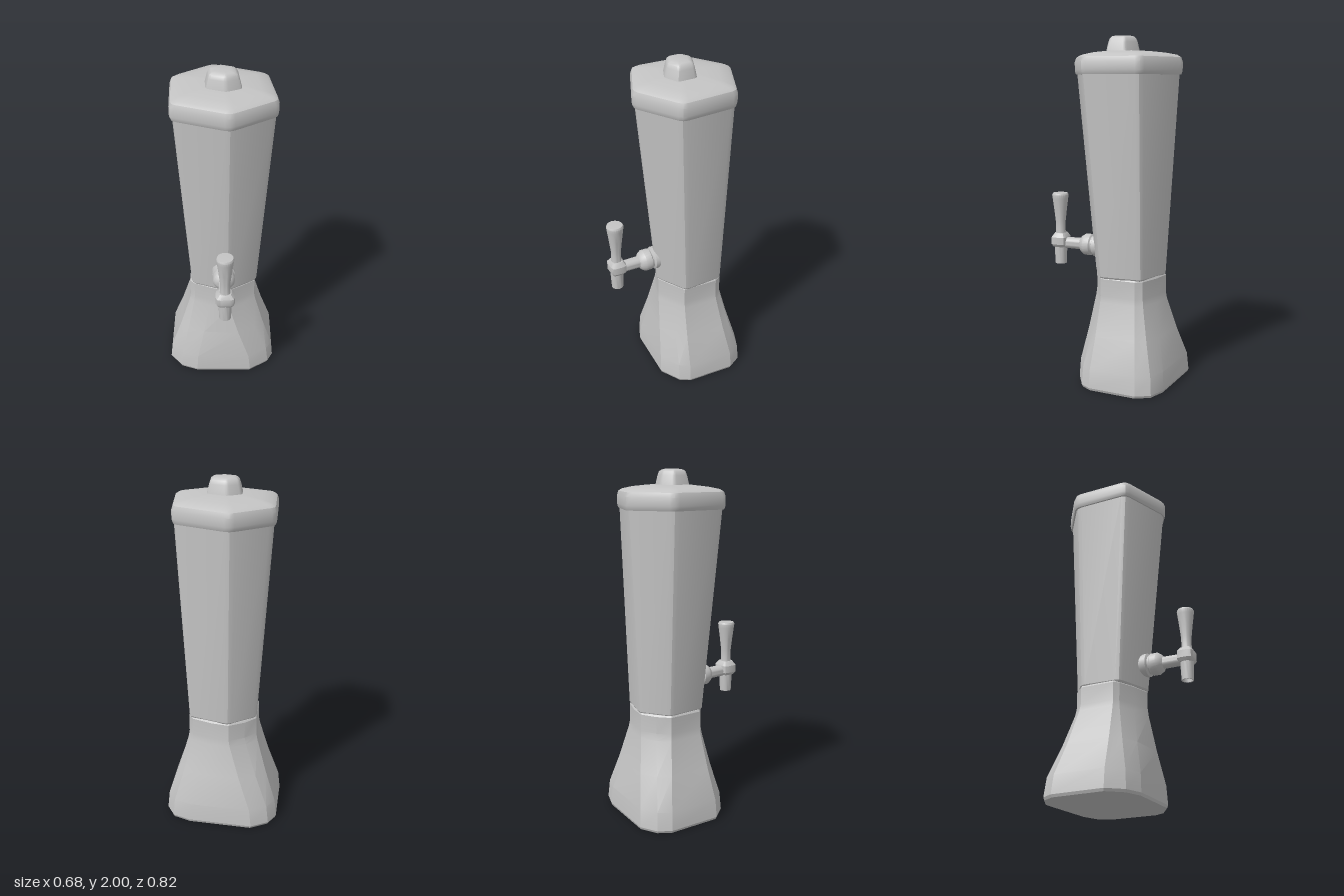
import * as THREE from 'three';
import { toCreasedNormals } from 'three/addons/utils/BufferGeometryUtils.js';

// Softens each corner of a closed [x, z] outline into three points
function roundCorners(pts, cut) {
  const n = pts.length;
  const toward = (p, q) => {
    const t = cut / Math.hypot(q[0] - p[0], q[1] - p[1]);
    return [p[0] + (q[0] - p[0]) * t, p[1] + (q[1] - p[1]) * t];
  };
  return pts.flatMap((p, i) => {
    const a = toward(p, pts[(i + n - 1) % n]);
    const b = toward(p, pts[(i + 1) % n]);
    const mid = [0, 1].map((k) => (a[k] + 2 * p[k] + b[k]) / 4);
    return [a, mid, b];
  });
}

const scaleRing = (pts, s, cx, cz) => pts.map(([x, z]) => [cx + (x - cx) * s, cz + (z - cz) * s]);
const mixRing = (a, b, t) => a.map((p, i) => [p[0] + (b[i][0] - p[0]) * t, p[1] + (b[i][1] - p[1]) * t]);

// Skins a stack of { y, pts } outlines and closes both ends
function loft(rings, crease) {
  const pos = [];
  const n = rings[0].pts.length;
  const at = (r, i) => [r.pts[i % n][0], r.y, r.pts[i % n][1]];
  for (let k = 0; k < rings.length - 1; k++) {
    const a = rings[k], b = rings[k + 1];
    for (let i = 0; i < n; i++) {
      pos.push(...at(a, i), ...at(a, i + 1), ...at(b, i + 1));
      pos.push(...at(a, i), ...at(b, i + 1), ...at(b, i));
    }
  }
  const cap = (r, up) => {
    const c = [0, r.y, 0];
    r.pts.forEach((p) => { c[0] += p[0] / n; c[2] += p[1] / n; });
    for (let i = 0; i < n; i++) pos.push(...c, ...at(r, up ? i : i + 1), ...at(r, up ? i + 1 : i));
  };
  cap(rings[0], false);
  cap(rings[rings.length - 1], true);
  const g = new THREE.BufferGeometry();
  g.setAttribute('position', new THREE.Float32BufferAttribute(pos, 3));
  return toCreasedNormals(g, crease);
}

export function createModel() {
  const group = new THREE.Group();
  const grey = new THREE.MeshStandardMaterial({ color: 0xc4c4c4 });
  grey.name = 'plain grey';
  const add = (name, geometry, parent = group) => {
    const m = new THREE.Mesh(geometry, grey);
    m.name = name;
    parent.add(m);
    return m;
  };

  // Flared pedestal: wide chamfered foot narrowing to a hexagonal neck
  const foot = [[-0.17, 0.15], [0.17, 0.16], [0.29, 0.09], [0.325, 0.03], [0.335, -0.255], [0.29, -0.335],
    [0.19, -0.375], [-0.18, -0.41], [-0.28, -0.36], [-0.325, -0.29], [-0.34, 0.02], [-0.27, 0.11]];
  const neck = [[-0.08, 0.07], [0.03, 0.105], [0.12, 0.055], [0.195, 0.01], [0.2, -0.2], [0.175, -0.24],
    [0.06, -0.285], [-0.04, -0.305], [-0.13, -0.26], [-0.195, -0.2], [-0.2, 0], [-0.175, 0.025]];
  add('pedestal', loft([
    { y: 0, pts: scaleRing(foot, 0.98, 0, -0.12) },
    { y: 0.015, pts: foot },
    { y: 0.12, pts: mixRing(foot, neck, 0.08) },
    { y: 0.3, pts: mixRing(foot, neck, 0.54) },
    { y: 0.49, pts: mixRing(foot, neck, 0.95) },
    { y: 0.53, pts: neck },
    { y: 0.63, pts: neck },
    { y: 0.64, pts: scaleRing(neck, 0.97, 0, -0.1) },
  ], 0.3));

  // Tapered hexagonal tank
  const low = roundCorners([[0.025, 0.115], [0.21, 0.01], [0.195, -0.235], [-0.035, -0.31], [-0.195, -0.205], [-0.19, 0.03]], 0.025);
  const high = roundCorners([[0.03, 0.23], [0.283, 0.08], [0.255, -0.243], [-0.05, -0.376], [-0.268, -0.225], [-0.268, 0.105]], 0.03);
  add('tank', loft([
    { y: 0.635, pts: scaleRing(low, 0.97, 0, -0.1) },
    { y: 0.645, pts: low },
    { y: 1.8, pts: high },
  ], 0.4));

  // Lid with a softened rim and shallow dome
  const rim = roundCorners([[0.03, 0.245], [0.295, 0.083], [0.265, -0.252], [-0.05, -0.393], [-0.283, -0.235], [-0.283, 0.113]], 0.03);
  add('lid', loft([[1.785, 0.975], [1.795, 0.99], [1.81, 1], [1.855, 1], [1.88, 0.97], [1.893, 0.9], [1.905, 0.7], [1.915, 0.4]]
    .map(([y, s]) => ({ y, pts: scaleRing(rim, s, 0, -0.07) })), 0.6));

  // Lid knob
  const knob = roundCorners([[0.015, 0.05], [0.1, 0.01], [0.095, -0.1], [-0.015, -0.145], [-0.093, -0.1], [-0.09, 0.005]], 0.015);
  add('lidKnob', loft([[1.9, 1.04], [1.918, 1], [1.965, 0.88], [1.985, 0.8], [1.996, 0.66], [2, 0.45]]
    .map(([y, s]) => ({ y, pts: scaleRing(knob, s, 0, -0.047) })), 0.6));

  // Tap: turned parts from [radius, height] profiles
  const tap = new THREE.Group();
  tap.name = 'tap';
  group.add(tap);
  const turn = (name, profile) => add(name, toCreasedNormals(
    new THREE.LatheGeometry(profile.map(([r, h]) => new THREE.Vector2(r, h)), 24), 0.6), tap);

  const stem = turn('tapStem', [[0, 0.06], [0.068, 0.06], [0.068, 0.13], [0.055, 0.137], [0.055, 0.145], [0.064, 0.152],
    [0.064, 0.19], [0.05, 0.212], [0.035, 0.222], [0.034, 0.31], [0.034, 0.35], [0, 0.35]]);
  stem.rotation.x = Math.PI / 2;
  stem.position.y = 0.78;

  const valve = turn('tapSpout', [[0, 0.68], [0.026, 0.68], [0.028, 0.65], [0.034, 0.65], [0.039, 0.755], [0.039, 0.78], [0, 0.78]]);
  valve.position.z = 0.36;

  // Squared valve block with bevelled top and bottom
  const square = roundCorners([[-0.054, 0.406], [0.054, 0.406], [0.054, 0.312], [-0.054, 0.312]], 0.025);
  add('tapBlock', loft([[0.755, 0.78], [0.772, 1], [0.815, 1], [0.84, 0.65]]
    .map(([y, s]) => ({ y, pts: scaleRing(square, s, 0, 0.36) })), 0.6), tap);

  const handle = turn('tapHandle', [[0, 0.82], [0.033, 0.82], [0.029, 0.86], [0.03, 0.91], [0.038, 0.98],
    [0.047, 1.05], [0.05, 1.073], [0.045, 1.083], [0, 1.085]]);
  handle.position.z = 0.36;

  return group;
}
